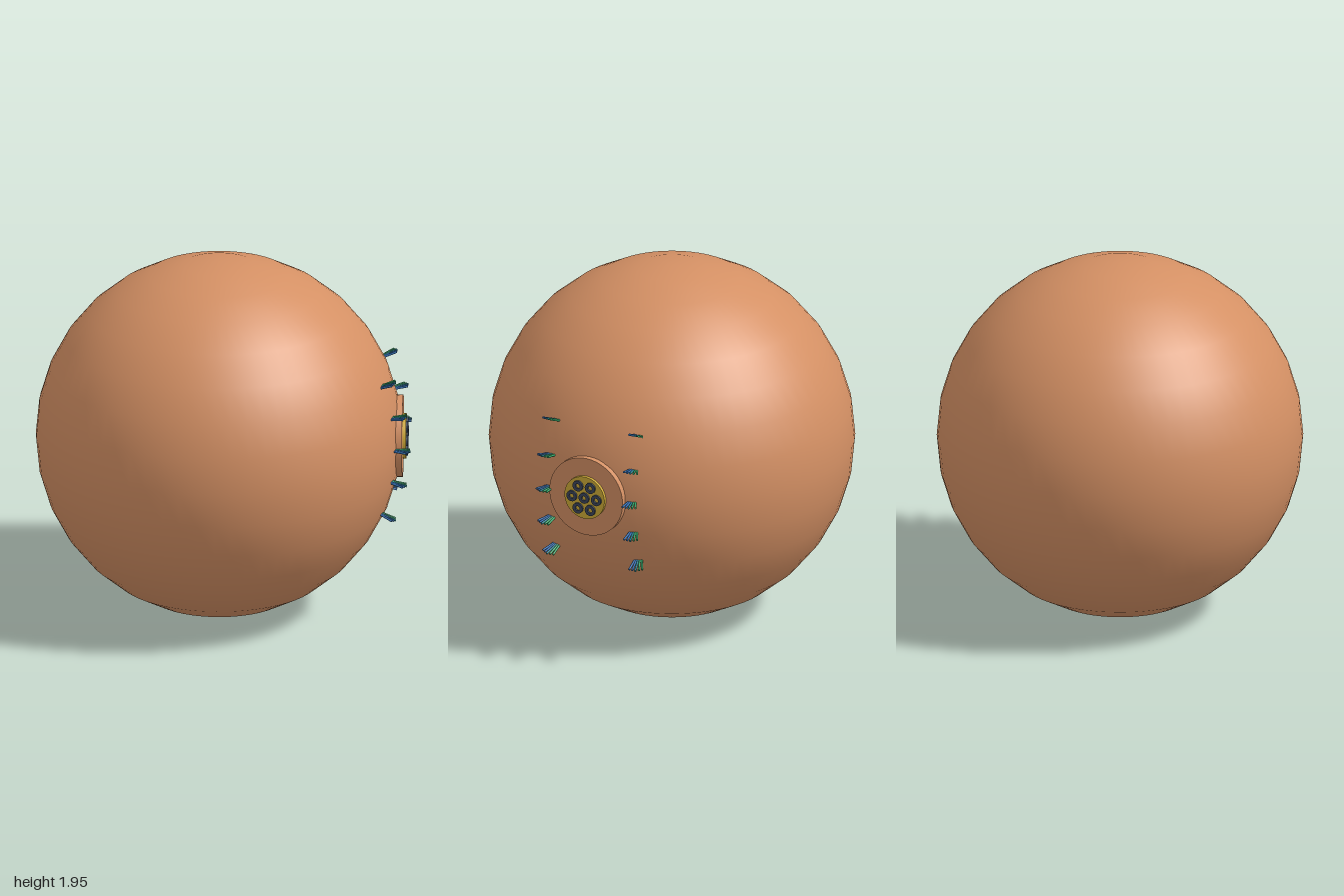
import * as THREE from 'three';

const R = 0.975;
const CENTRE = new THREE.Vector3(-0.025, R, 0);

const mat = (name, color) => {
  const m = new THREE.MeshStandardMaterial({ color });
  m.name = name;
  return m;
};

export function createModel() {
  const copper = mat('copper', 0xd49064);
  const gold = mat('gold', 0xd0ac38);
  const slate = mat('slate', 0x3c475c);
  const blue = mat('blue', 0x3470b4);
  const teal = mat('teal', 0x2c8490);
  const green = mat('green', 0x36a468);

  const model = new THREE.Group();
  model.name = 'sphericalPod';

  const add = (name, geometry, material, parent = model) => {
    const mesh = new THREE.Mesh(geometry, material);
    mesh.name = name;
    parent.add(mesh);
    return mesh;
  };

  // Main shell: fine around the vertical axis, coarse from pole to pole
  add('shell', new THREE.SphereGeometry(R, 64, 16), copper).position.copy(CENTRE);

  // Round port on the +x side, built from stacked discs
  const disc = (name, radius, x0, x1, material) => {
    const g = new THREE.CylinderGeometry(radius, radius, x1 - x0, 48).rotateZ(-Math.PI / 2);
    add(name, g, material).position.set((x0 + x1) / 2, R, 0);
  };
  disc('portFlange', 0.22, 0.91, 0.954, copper);
  disc('portPlate', 0.12, 0.95, 0.972, gold);

  // Seven socket rings: one in the middle, six around it
  const ringShape = new THREE.Shape().absarc(0, 0, 0.03, 0, Math.PI * 2);
  ringShape.holes.push(new THREE.Path().absarc(0, 0, 0.013, 0, Math.PI * 2, true));
  const ringGeometry = new THREE.ExtrudeGeometry(ringShape, {
    depth: 0.012, bevelEnabled: false, curveSegments: 12,
  }).rotateY(Math.PI / 2);
  for (let i = 0; i < 7; i++) {
    const a = (i * Math.PI) / 3;
    const r = i === 6 ? 0 : 0.0735;
    add('socketRing', ringGeometry, slate)
      .position.set(0.97, R + r * Math.sin(a), r * Math.cos(a));
  }

  // Bristle tufts: flat fans of thin rods standing out from the shell
  const strands = [green, green, teal, blue, blue];
  const up = new THREE.Vector3(0, 1, 0);
  const rod = (from, to, material, parent) => {
    const dir = to.clone().sub(from);
    const g = new THREE.CylinderGeometry(0.006, 0.006, dir.length(), 8);
    const mesh = add('bristle', g, material, parent);
    mesh.position.copy(from).add(to).multiplyScalar(0.5);
    mesh.quaternion.setFromUnitVectors(up, dir.normalize());
  };
  for (const side of [-1, 1]) {
    for (let row = -2; row <= 2; row++) {
      const y = row * 0.18;
      const z = side * 0.245 - 0.01;
      const normal = new THREE.Vector3(Math.sqrt(R * R - y * y - z * z), y, z).normalize();
      const across = new THREE.Vector3(0, 0, 1).addScaledVector(normal, -normal.z).normalize();
      const tuft = new THREE.Group();
      tuft.name = 'bristleTuft';
      tuft.position.copy(CENTRE).addScaledVector(normal, R);
      model.add(tuft);
      strands.forEach((material, i) => {
        const t = (i - 2) / 2;
        const from = normal.clone().multiplyScalar(-0.012).addScaledVector(across, t * 0.018);
        const to = normal.clone().multiplyScalar(0.08 - 0.012 * Math.abs(t))
          .addScaledVector(across, t * 0.036);
        rod(from, to, material, tuft);
      });
    }
  }
  return model;
}
